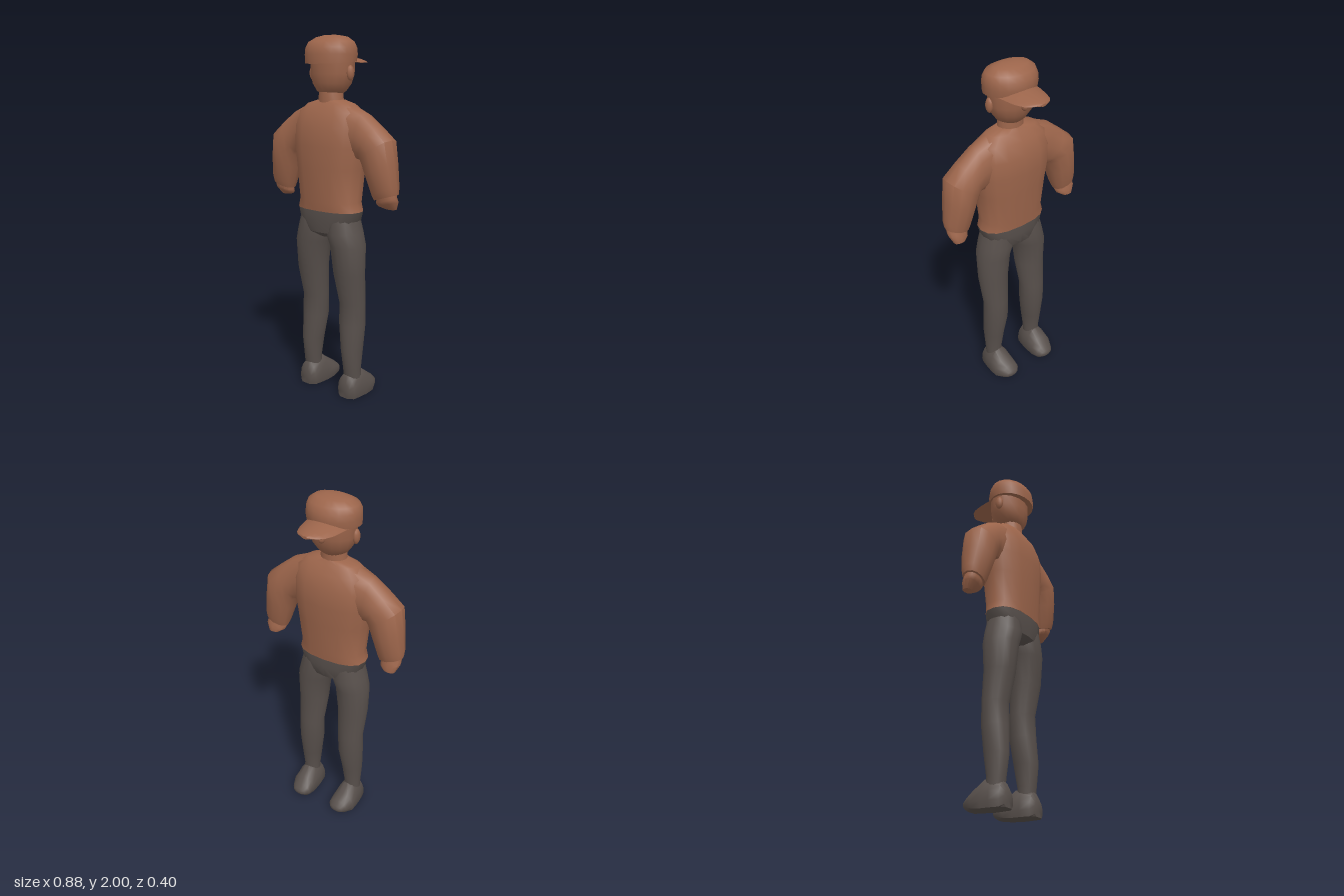
import * as THREE from 'three';
import { toCreasedNormals } from 'three/addons/utils/BufferGeometryUtils.js';

const V = (x, y, z) => new THREE.Vector3(x, y, z);
const brown = new THREE.MeshStandardMaterial({ color: 0x9c654b });
brown.name = 'warm brown';
const grey = new THREE.MeshStandardMaterial({ color: 0x574f4b });
grey.name = 'dark grey';

// Closed superellipse ring around c, spanned by u and v (travel direction is u x v)
function ring(c, u, v, power = 1, n = 16) {
  const bend = (t) => Math.sign(t) * Math.pow(Math.abs(t), power);
  return Array.from({ length: n }, (_, i) => {
    const a = (i / n) * Math.PI * 2;
    return c.clone().addScaledVector(u, bend(Math.cos(a))).addScaledVector(v, bend(Math.sin(a)));
  });
}

// Skin through a list of rings, with end caps and an optional rule that moves each point
function loft(rings, rule, crease = 0.8) {
  const n = rings[0].length;
  const centre = (r) => r.reduce((s, p) => s.add(p), V(0, 0, 0)).divideScalar(n);
  const points = [...rings.flat(), centre(rings[0]), centre(rings[rings.length - 1])];
  if (rule) points.forEach(rule);
  const first = rings.length * n;
  const index = [];
  for (let j = 0; j < n; j++) {
    const k = (j + 1) % n;
    for (let i = 0; i < rings.length - 1; i++) {
      const a = i * n + j, b = i * n + k;
      index.push(a, b, a + n, b, b + n, a + n);
    }
    index.push(first, k, j, first + 1, first - n + j, first - n + k);
  }
  const g = new THREE.BufferGeometry().setFromPoints(points);
  g.setIndex(index);
  return toCreasedNormals(g, crease);
}

// Upright body form; rows are [y, centre x, half width, back z, front z]
const upright = (rows, power, crease) =>
  loft(rows.map(([y, x, rx, back, front]) =>
    ring(V(x, y, (back + front) / 2), V(0, 0, (back - front) / 2), V(rx, 0, 0), power)), null, crease);

// Arm form; rows are [outer x, outer y, inner x, inner y, centre z, half depth]
const limb = (rows, side) =>
  loft(rows.map(([ox, oy, ix, iy, z, d]) =>
    ring(V(side * (ox + ix) / 2, (oy + iy) / 2, z),
      V(side * (ox - ix) / 2, (oy - iy) / 2, 0), V(0, 0, side * d), 0.9, 12)));

export function createModel() {
  const model = new THREE.Group();
  model.name = 'cappedFigure';
  const add = (name, geometry, material, parent = model) => {
    const mesh = new THREE.Mesh(geometry, material);
    mesh.name = name;
    parent.add(mesh);
    return mesh;
  };

  // Sweater body and neck
  add('torso', upright([
    [1.07, 0, 0.205, 0.18, -0.04], [1.12, 0, 0.19, 0.185, -0.045],
    [1.3, 0, 0.208, 0.195, -0.06], [1.42, 0, 0.225, 0.197, -0.07],
    [1.52, 0, 0.225, 0.19, -0.068], [1.6, 0, 0.205, 0.16, -0.042],
    [1.645, 0, 0.15, 0.13, -0.012], [1.665, 0, 0.075, 0.115, 0.0],
  ], 0.8), brown);
  add('neck', upright([
    [1.63, 0, 0.078, 0.127, -0.002], [1.69, 0, 0.07, 0.125, 0.0], [1.73, 0, 0.065, 0.12, 0.0],
  ]), brown);

  // Head with nose
  add('head', upright([
    [1.69, 0, 0.05, 0.105, 0.005], [1.71, 0, 0.085, 0.13, -0.015],
    [1.75, 0, 0.115, 0.147, -0.04], [1.8, 0, 0.13, 0.155, -0.055],
    [1.88, 0, 0.132, 0.157, -0.055],
  ]), brown);
  const nose = add('nose', new THREE.SphereGeometry(1, 10, 8), brown);
  nose.scale.set(0.018, 0.026, 0.025);
  nose.position.set(0, 1.805, -0.051);

  // Cap crown, its rim dipping towards the back
  add('capCrown', loft([
    [1.86, 0.146, 0.19, -0.062], [1.9, 0.15, 0.191, -0.068], [1.935, 0.148, 0.185, -0.062],
    [1.965, 0.136, 0.165, -0.045], [1.99, 0.1, 0.118, -0.008], [2.0, 0.045, 0.09, 0.03],
  ].map(([y, rx, b, f]) => ring(V(0, y, (b + f) / 2), V(0, 0, (b - f) / 2), V(rx, 0, 0), 1, 20)),
  (p) => { if (p.y < 1.87) p.y -= 0.07 * (p.z - 0.06); }), brown);

  // Brim, arched across its width
  add('capBrim', loft([
    [0.03, 0.122, 1.9], [-0.04, 0.112, 1.893], [-0.1, 0.1, 1.884],
    [-0.15, 0.08, 1.876], [-0.18, 0.053, 1.87], [-0.2, 0.015, 1.865],
  ].map(([z, rx, y]) => ring(V(0, y, z), V(0, 0.007, 0), V(rx, 0, 0))),
  (p) => { p.y -= 2.6 * p.x * p.x; }), brown);

  for (const [label, side] of [['left', 1], ['right', -1]]) {
    const ear = add(label + 'Ear', new THREE.SphereGeometry(1, 10, 8), brown);
    ear.scale.set(0.018, 0.04, 0.024);
    ear.position.set(side * 0.132, 1.805, 0.06);

    // Sleeve from shoulder to cuff, then a closed hand
    const arm = new THREE.Group();
    arm.name = label + 'Arm';
    model.add(arm);
    add('sleeve', limb([
      [0.15, 1.643, 0.14, 1.38, 0.06, 0.09], [0.24, 1.605, 0.2, 1.35, 0.06, 0.08],
      [0.33, 1.535, 0.225, 1.36, 0.06, 0.09], [0.408, 1.47, 0.235, 1.345, 0.06, 0.096],
      [0.425, 1.35, 0.262, 1.275, 0.058, 0.088], [0.44, 1.23, 0.293, 1.18, 0.055, 0.066],
      [0.438, 1.19, 0.305, 1.15, 0.053, 0.054],
    ], side), brown, arm);
    add('hand', limb([
      [0.42, 1.22, 0.32, 1.19, 0.053, 0.04], [0.43, 1.17, 0.315, 1.135, 0.05, 0.046],
      [0.432, 1.15, 0.32, 1.12, 0.04, 0.043], [0.412, 1.105, 0.342, 1.108, 0.022, 0.025],
    ], side), brown, arm);

    // Trouser leg
    add(label + 'Leg', upright([
      [1.03, 0.1, 0.085, 0.165, -0.025], [0.95, 0.104, 0.104, 0.175, -0.035],
      [0.88, 0.127, 0.098, 0.17, -0.032], [0.72, 0.134, 0.09, 0.152, -0.02],
      [0.55, 0.137, 0.077, 0.112, -0.03], [0.42, 0.139, 0.076, 0.116, -0.03],
      [0.28, 0.147, 0.06, 0.125, -0.013], [0.16, 0.15, 0.05, 0.11, 0.006],
      [0.08, 0.15, 0.05, 0.1, 0.0],
    ].reverse().map(([y, x, ...rest]) => [y, side * x, ...rest])), grey);

    // Shoe along z with a flat sole
    add(label + 'Shoe', loft([
      [0.127, 0.04, 0.09], [0.105, 0.062, 0.13], [0.05, 0.07, 0.158], [0.005, 0.073, 0.155],
      [-0.05, 0.075, 0.112], [-0.095, 0.062, 0.08], [-0.12, 0.042, 0.058], [-0.13, 0.02, 0.045],
    ].map(([z, rx, h]) => ring(V(side * (z < -0.05 ? 0.138 : 0.147), 0.035, z),
      V(0, h - 0.035, 0), V(rx, 0, 0))),
    (p) => { p.y = Math.max(0, p.y); }), grey);
  }

  // Trouser seat joining the legs
  add('trouserSeat', upright([
    [0.92, 0, 0.04, 0.13, 0.01], [0.95, 0, 0.15, 0.172, -0.03],
    [1.02, 0, 0.19, 0.181, -0.04], [1.07, 0, 0.204, 0.179, -0.039],
  ], 0.8), grey);
  return model;
}
